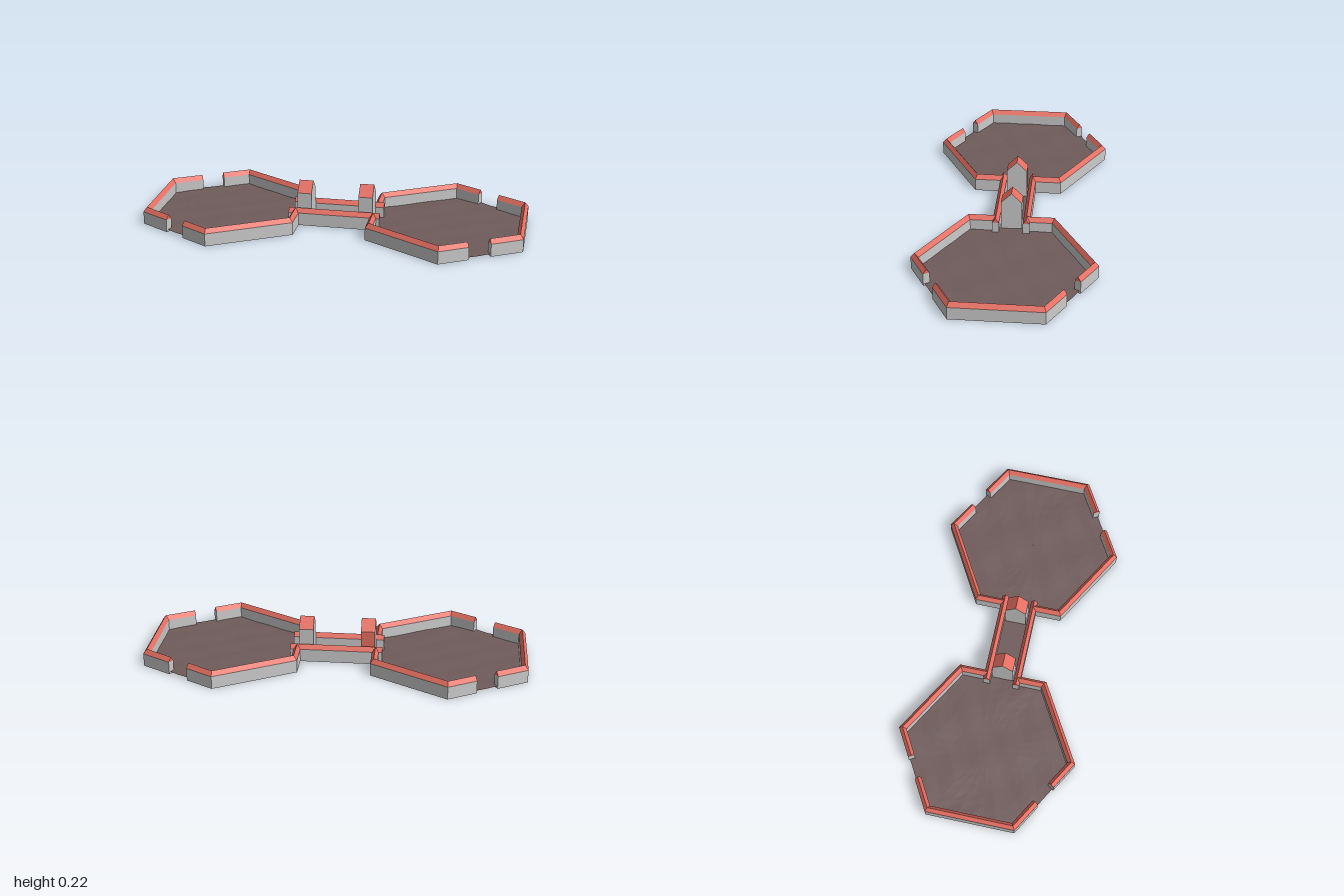
import * as THREE from 'three';

const mat = (color) => new THREE.MeshStandardMaterial({ color, flatShading: true, side: THREE.DoubleSide });
const GREY = mat(0xcccccc), RED = mat(0xe66f62), EARTH = mat(0x6f5c5b);

const A = 0.405, R = A / Math.cos(Math.PI / 6); // hexagon apothem and radius
const T = 0.035, EAVE = 0.068, RIDGE = 0.092;   // wall thickness and heights

function meshFrom(name, tris, material) {
  const g = new THREE.BufferGeometry();
  g.setAttribute('position', new THREE.Float32BufferAttribute(tris.flat(), 3));
  g.computeVertexNormals();
  const m = new THREE.Mesh(g, material);
  m.name = name;
  return m;
}

// Mitred wall with a gabled coping; points run along the outer face as [x, z]
function wall(name, pts) {
  const normals = pts.slice(1).map(([x, z], i) => {
    const dx = x - pts[i][0], dz = z - pts[i][1], l = Math.hypot(dx, dz);
    return [dz / l, -dx / l];
  });
  const rings = pts.map(([x, z], i) => {
    const a = normals[Math.max(i - 1, 0)], b = normals[Math.min(i, normals.length - 1)];
    const k = T / (1 + a[0] * b[0] + a[1] * b[1]);
    const at = (f, y) => [x + (a[0] + b[0]) * k * f, y, z + (a[1] + b[1]) * k * f];
    return [at(0, 0), at(0, EAVE), at(0.5, RIDGE), at(1, EAVE), at(1, 0)];
  });
  const body = [], roof = [];
  const quad = (out, a, b, c, d) => out.push(...a, ...b, ...c, ...a, ...c, ...d);
  for (let i = 0; i + 1 < rings.length; i++) {
    for (let k = 0; k < 5; k++) {
      const n = (k + 1) % 5, p = rings[i], q = rings[i + 1];
      quad(k === 1 || k === 2 ? roof : body, p[k], q[k], q[n], p[n]);
    }
  }
  // End faces
  const s = rings[0], e = rings[rings.length - 1];
  quad(body, s[0], s[1], s[3], s[4]);
  quad(body, e[4], e[3], e[1], e[0]);
  roof.push(...s[1], ...s[2], ...s[3], ...e[3], ...e[2], ...e[1]);
  const g = new THREE.Group();
  g.name = name;
  g.add(meshFrom(name + 'Body', body, GREY), meshFrom(name + 'Coping', roof, RED));
  return g;
}

// Slightly uneven hexagonal ground
function ground() {
  const g = new THREE.RingGeometry(0.001, R - 0.008, 36, 8).rotateX(-Math.PI / 2);
  const p = g.attributes.position;
  for (let i = 0; i < p.count; i++) {
    const x = p.getX(i), z = p.getZ(i);
    // pull the circle in to the straight hexagon sides
    const ang = Math.atan2(x, z), sector = Math.PI / 3;
    const off = ang - (Math.floor(ang / sector) + 0.5) * sector;
    const f = Math.cos(Math.PI / 6) / Math.cos(off);
    p.setXYZ(i, x * f, 0.0115 + 0.003 * Math.sin(x * 17 + z * 9) * Math.cos(z * 21), z * f);
  }
  g.computeVertexNormals();
  const m = new THREE.Mesh(g, EARTH);
  m.name = 'ground';
  return m;
}

// Hexagonal yard with its outer side towards +x
function yard(name) {
  const slope = (x) => R - x * Math.tan(Math.PI / 6);
  const flip = (pts) => pts.map(([x, z]) => [x, -z]).reverse();
  const inner = [[-A, 0.08], [-A, R / 2], [0, R], [0.145, slope(0.145)]];
  const g = new THREE.Group();
  g.name = name;
  g.add(
    ground(),
    wall('frontWall', inner),
    wall('outerWall', [[0.25, slope(0.25)], [A, R / 2], [A, -R / 2], [0.25, -slope(0.25)]]),
    wall('backWall', flip(inner)),
  );
  return g;
}

// Small gatehouse straddling the bridge, ridge along x
function gatehouse(name, x, backMaterial) {
  const W = 0.0375, D = 0.055, H = 0.165, P = 0.22;
  const shape = new THREE.Shape([[-D, 0.004], [D, 0.004], [D, H], [0, P], [-D, H]].map(([u, v]) => new THREE.Vector2(u, v)));
  const ends = new THREE.ShapeGeometry(shape);
  const g = new THREE.Group();
  g.name = name;
  for (const s of [1, -1]) {
    const end = new THREE.Mesh(ends, GREY);
    end.name = 'gableEnd';
    end.rotation.y = s * Math.PI / 2;
    end.position.x = s * W;
    g.add(end);
  }
  const panel = (label, [z0, y0], [z1, y1], m) => {
    const a = [-W, y0, z0], b = [W, y0, z0], c = [W, y1, z1], d = [-W, y1, z1];
    g.add(meshFrom(label, [...a, ...b, ...c, ...a, ...c, ...d], m));
  };
  panel('frontSide', [D, 0.004], [D, H], GREY);
  panel('frontRoof', [D, H], [0, P], RED);
  panel('backRoof', [0, P], [-D, H], RED);
  panel('backSide', [-D, H], [-D, 0.004], backMaterial);
  panel('base', [-D, 0.004], [D, 0.004], backMaterial);
  g.position.x = x;
  return g;
}

export function createModel() {
  const root = new THREE.Group();
  root.name = 'twinYards';

  // Two yards, mirrored by a half turn
  const left = yard('leftYard'), right = yard('rightYard');
  left.position.x = 1 - A;
  right.position.x = A - 1;
  right.rotation.y = Math.PI;
  root.add(left, right);

  // Bridge between the yards
  const L = 0.243, Z = 0.097;
  root.add(wall('bridgeFrontWall', [[-L, Z], [L, Z]]), wall('bridgeBackWall', [[L, -Z], [-L, -Z]]));
  const deck = new THREE.Mesh(new THREE.BoxGeometry(0.26, 0.006, 0.126), EARTH);
  deck.name = 'bridgeDeck';
  deck.position.y = 0.011;
  root.add(deck);

  // Gatehouses at both ends of the bridge
  root.add(gatehouse('leftGatehouse', 0.162, GREY), gatehouse('rightGatehouse', -0.165, RED));
  return root;
}
